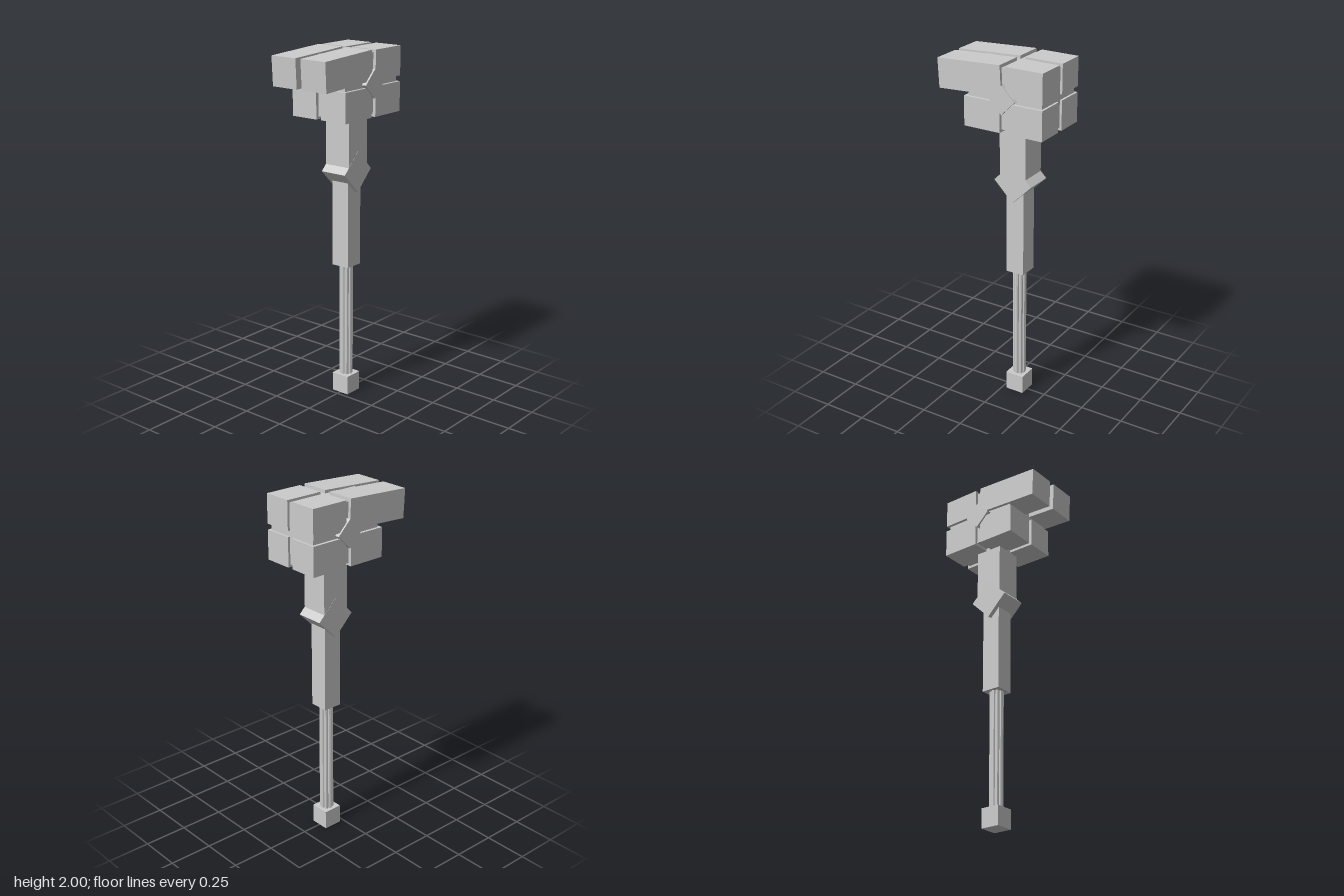
import * as THREE from 'three';

const material = new THREE.MeshStandardMaterial({ color: 0xcccccc, flatShading: true });
const AXIS_Z = -0.08; // the handle runs behind the centre of the head

export function createModel() {
  const model = new THREE.Group();
  model.name = 'warHammer';

  // Box given by its extents on each axis
  function box(name, [x0, x1], [y0, y1], [z0, z1], parent = model) {
    const mesh = new THREE.Mesh(new THREE.BoxGeometry(x1 - x0, y1 - y0, z1 - z0), material);
    mesh.position.set((x0 + x1) / 2, (y0 + y1) / 2, (z0 + z1) / 2);
    mesh.name = name;
    parent.add(mesh);
    return mesh;
  }

  // Square column centred on the handle axis
  const column = (name, half, y0, y1) =>
    box(name, [-half, half], [y0, y1], [AXIS_Z - half, AXIS_Z + half]);

  // Square bar along x, turned 45 degrees to show a diamond from the side
  function diamond(name, halfWidth, halfDiagonal, y) {
    const side = halfDiagonal * Math.SQRT2;
    const mesh = new THREE.Mesh(new THREE.BoxGeometry(halfWidth * 2, side, side), material);
    mesh.position.set(0, y, AXIS_Z);
    mesh.rotation.x = Math.PI / 4;
    mesh.name = name;
    model.add(mesh);
  }

  // Handle
  column('pommel', 0.055, 0, 0.11);
  column('upperHandle', 0.055, 0.775, 1.3);
  diamond('collar', 0.081, 0.115, 1.325);
  column('neck', 0.08, 1.33, 1.66);

  // Grip: a bundle of slim rods around the axis
  const grip = new THREE.Group();
  grip.name = 'grip';
  grip.position.set(0, 0.445, AXIS_Z);
  const rodGeometry = new THREE.CylinderGeometry(0.012, 0.012, 0.68, 8);
  for (let i = 0; i < 8; i++) {
    const angle = (i / 8) * Math.PI * 2;
    const rod = new THREE.Mesh(rodGeometry, material);
    rod.position.set(Math.cos(angle) * 0.027, 0, Math.sin(angle) * 0.027);
    rod.name = 'gripRod';
    grip.add(rod);
  }
  model.add(grip);

  // Head core, seen in the gaps between the blocks
  box('headCore', [-0.165, 0.165], [1.655, 1.985], [-0.305, 0.138]);
  diamond('sideStud', 0.192, 0.078, 1.822);

  // Head blocks, mirrored left and right
  for (const side of [-1, 1]) {
    const label = side > 0 ? 'left' : 'right';
    const x = side > 0 ? [0.017, 0.182] : [-0.182, -0.017];
    box(label + 'LowerFrontBlock', x, [1.64, 1.805], [-0.065, 0.155]);
    box(label + 'LowerBackBlock', x, [1.64, 1.805], [-0.318, -0.098]);
    box(label + 'UpperBackBlock', x, [1.837, 2], [-0.318, -0.098]);
    // Long striking block, tipped slightly downwards at the front
    const striker = box(label + 'Striker', x, [1.83, 1.993], [-0.07, 0.314]);
    striker.rotation.x = 0.052;
  }

  return model;
}
